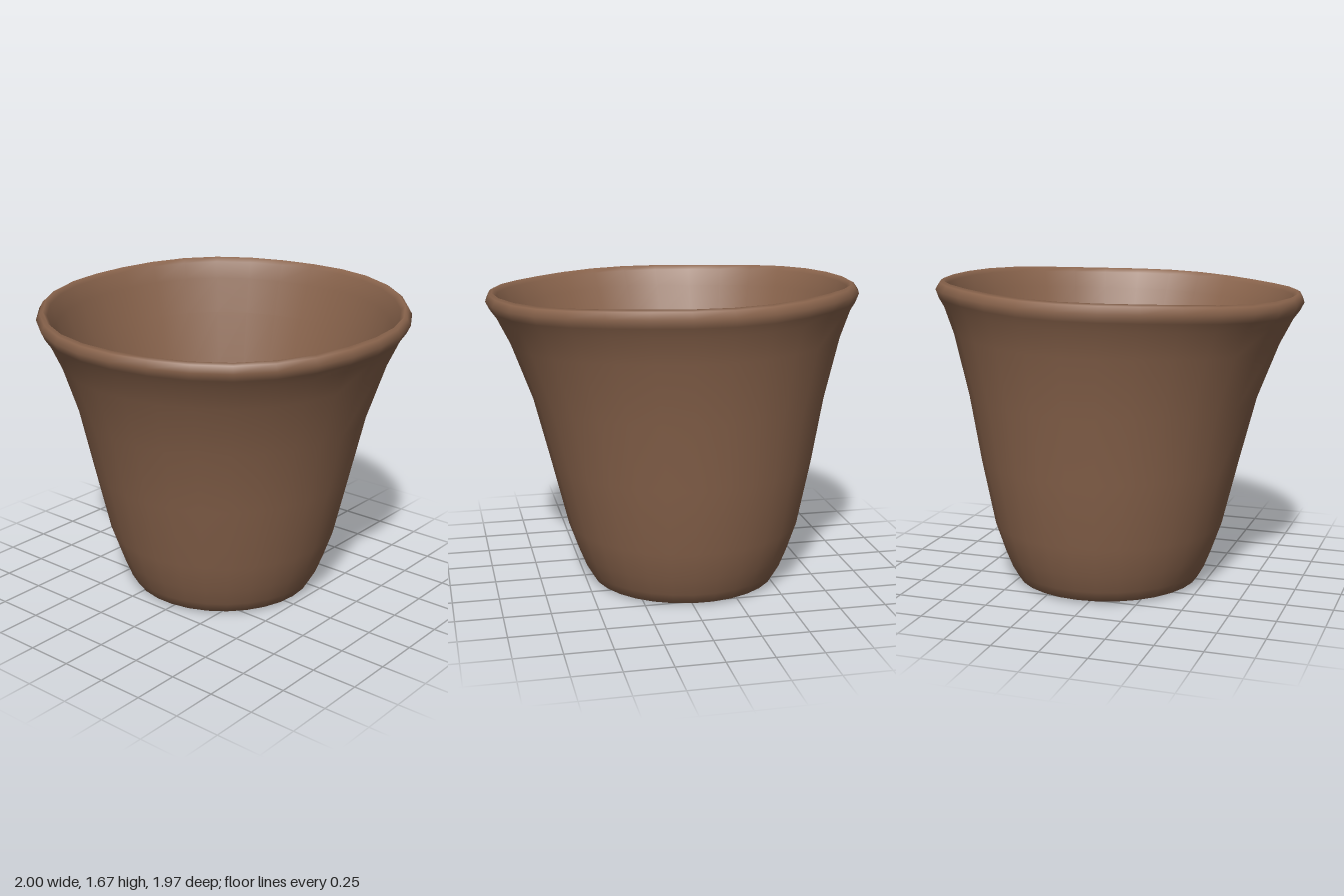
import * as THREE from 'three';

const SEGMENTS = 30;
const HOLE = { x: -0.175, z: 0.025 };

// Closed wall profile as [radius, height]: up the outside, over the lip, down the inside to the floor
const WALL = [
  [0.45, 0.005], [0.51, 0.02], [0.545, 0.08], [0.585, 0.18], [0.64, 0.34], [0.72, 0.7],
  [0.795, 1.05], [0.89, 1.36], [0.95, 1.5], [0.98, 1.545], [1, 1.59], [0.98, 1.625],
  [0.962, 1.635], [0.94, 1.61], [0.905, 1.52], [0.84, 1.33], [0.745, 1.05], [0.657, 0.7],
  [0.565, 0.34], [0.49, 0.17], [0.45, 0.12],
];
// Drain hole profile, from the inner floor through to the underside
const DRAIN = [[0.2, 0.11], [0.06, 0.1], [0.037, 0.085], [0.037, 0.045], [0.075, 0.025], [0.2, 0.008]];

// One ring of points; the mouth leans forward a little and its lip is slightly uneven
function ring(radius, y, cx, cz) {
  const tilt = THREE.MathUtils.smoothstep(y, 0.9, 1.5);
  return Array.from({ length: SEGMENTS }, (_, j) => {
    const a = (j / SEGMENTS) * Math.PI * 2;
    const x = cx + radius * Math.cos(a);
    const z = cz + radius * 0.99 * Math.sin(a);
    const lean = tilt * (-0.018 * x - 0.034 * z + 0.004 * Math.sin(5 * a + 1));
    return new THREE.Vector3(x, y + lean, z);
  });
}

function createPotGeometry() {
  // The body drifts off centre towards the base
  const wallRings = WALL.map(([r, y]) => {
    const drift = -0.053 * (1 - (y / 1.6) ** 2);
    return ring(r, y, drift, drift);
  });
  const drainRings = DRAIN.map(([r, y]) => ring(r, y, HOLE.x, HOLE.z));
  const rings = [...wallRings, ...drainRings];

  // Join each ring to the next, the last one back to the first
  const index = [];
  rings.forEach((_, i) => {
    const p = i * SEGMENTS;
    const q = ((i + 1) % rings.length) * SEGMENTS;
    for (let j = 0; j < SEGMENTS; j++) {
      const k = (j + 1) % SEGMENTS;
      index.push(p + j, q + j, p + k, p + k, q + j, q + k);
    }
  });
  const geometry = new THREE.BufferGeometry().setFromPoints(rings.flat());
  geometry.setIndex(index);
  geometry.computeVertexNormals();
  return geometry;
}

export function createModel() {
  const group = new THREE.Group();
  group.name = 'flowerPot';
  const clay = new THREE.MeshStandardMaterial({ color: 0x8b654d });
  clay.name = 'brown clay';

  // Thick-walled pot with flared lip and drain hole
  const pot = new THREE.Mesh(createPotGeometry(), clay);
  pot.name = 'potBody';
  group.add(pot);
  return group;
}
